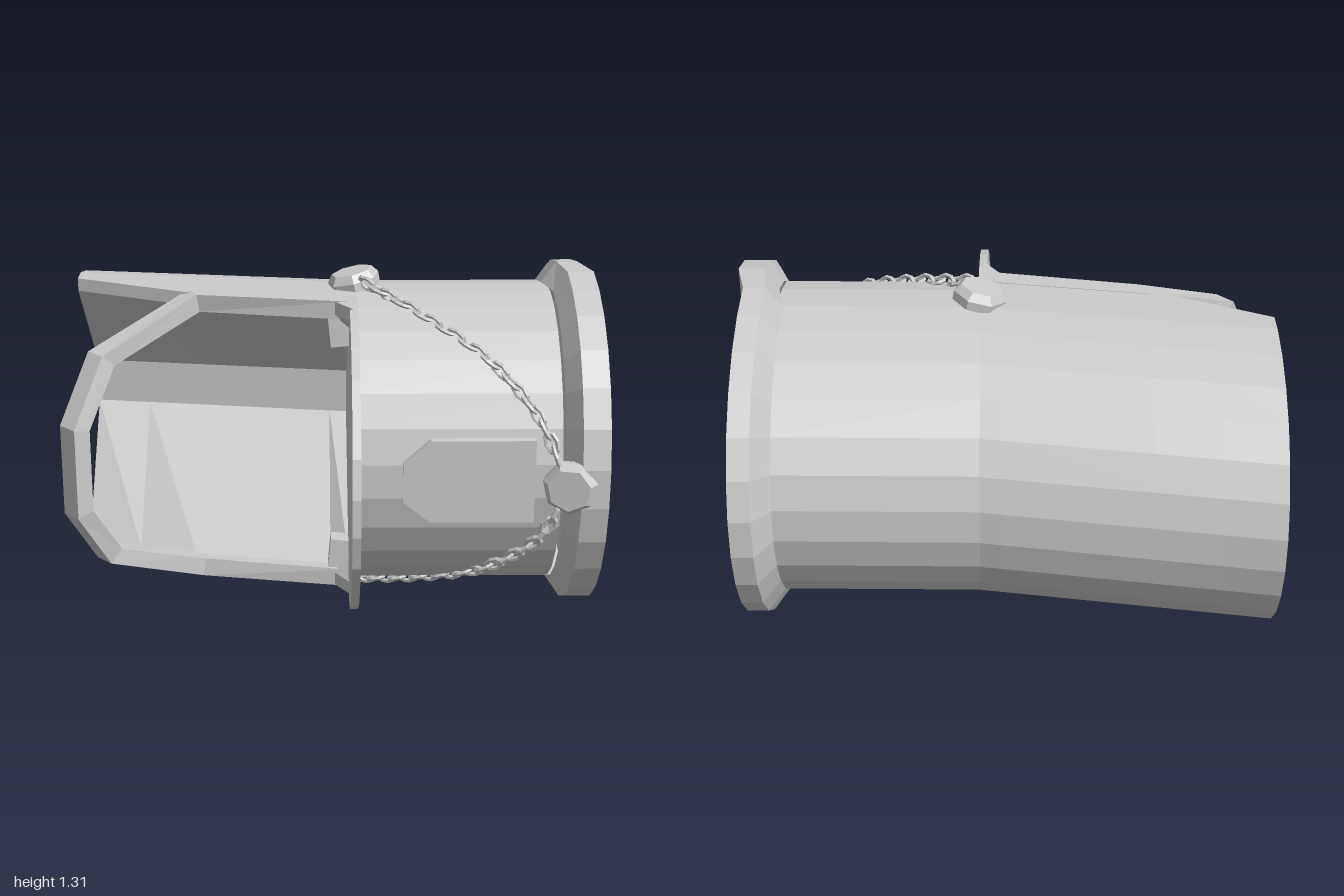
import * as THREE from 'three';

const MID = 0.655; // height of the mirror plane
const mat = new THREE.MeshStandardMaterial({ color: 0xcccccc, flatShading: true, side: THREE.DoubleSide });
const V = (x, y, z) => new THREE.Vector3(x, y, z);
const flip = (p) => V(p.x, 2 * MID - p.y, p.z);

function add(parent, name, geometry) {
  const mesh = new THREE.Mesh(geometry, mat);
  mesh.name = name;
  parent.add(mesh);
  return mesh;
}

// Skin a list of closed cross-sections; caps are flat fills in the z-y plane
function loft(sections, capped = false) {
  const pts = [];
  for (let s = 0; s < sections.length - 1; s++) {
    const a = sections[s], b = sections[s + 1];
    for (let i = 0; i < a.length; i++) {
      const j = (i + 1) % a.length;
      pts.push(a[i], b[i], b[j], a[i], b[j], a[j]);
    }
  }
  if (capped) {
    for (const ring of [sections[0], sections[sections.length - 1]]) {
      const flat = ring.map((p) => new THREE.Vector2(p.z, p.y));
      for (const f of THREE.ShapeUtils.triangulateShape(flat, [])) pts.push(...f.map((k) => ring[k]));
    }
  }
  const g = new THREE.BufferGeometry().setFromPoints(pts);
  g.computeVertexNormals();
  return g;
}

// 28-sided oval across the x axis with its own reach to the front and back;
// the front half is pushed along x by shift
const N = 28, CZ = -0.05;
function oval(x, front, back, ry, shift = 0) {
  return Array.from({ length: N }, (_, i) => {
    const a = ((i + 0.5) / N) * Math.PI * 2, c = Math.cos(a);
    return V(x + (c > 0 ? shift : 0), MID + Math.sin(a) * ry, CZ + c * (c > 0 ? front : back));
  });
}

// Back half of an oval, running from the upper side round to the lower side
function backArc(x, cz, rz, ry) {
  return Array.from({ length: N / 2 }, (_, i) => {
    const a = Math.PI / 2 + ((i + 0.5) / N) * Math.PI * 2;
    return V(x, MID + Math.sin(a) * ry, cz + Math.cos(a) * rz);
  });
}

function createNeckGuard() {
  // x, back z, front edge z
  const rows = [[0.08, -0.74, 0.27], [0, -0.753, 0.14], [-0.53, -0.837, 0.03], [-0.77, -0.875, -0.09], [-0.99, -0.91, -0.2]];
  const sections = rows.map(([x, back, edge]) => [
    V(x, 1.23, edge),
    ...backArc(x, back + 0.69, 0.694, 0.579),
    V(x, 0.08, edge),
    V(x, 0.13, edge),
    V(x, 0.57, back + 0.22),
    V(x, 0.75, back + 0.22),
    V(x, 1.18, edge),
  ]);
  return loft(sections, true);
}

function createVisor() {
  const outline = (x) => {
    const front = Array.from({ length: 14 }, (_, i) => {
      const a = -Math.PI / 2 + (i / 13) * Math.PI;
      return V(x, MID + Math.sin(a) * 0.575, 0.21 + Math.cos(a) * 0.707);
    });
    return [...front, ...backArc(x, CZ, 0.67, 0.57)];
  };
  return loft([outline(0.07), outline(0.1)], true);
}

function createStrap() {
  const d = V(-0.74, 0, 0.67);
  // centre line point and turn of the section from vertical to lengthwise
  const path = [
    [V(0.06, 1.198, 0.13), 0, V(0, 0, 1)],
    [V(-0.52, 1.198, 0.025), 0.2, V(0.4, 0, 0.9)],
    [V(-0.85, 1.045, 0.28), 0.85, V(0.67, 0, 0.74)],
    [V(-0.94, 0.82, 0.42), 1.35, V(0.67, 0, 0.74)],
  ];
  const upper = path.map(([p, turn, side]) => {
    const inward = V(0, -Math.cos(turn), 0).addScaledVector(d, -Math.sin(turn));
    return [[1, 1], [1, -1], [-1, -1], [-1, 1]].map(([u, v]) =>
      p.clone().addScaledVector(inward, u * 0.035).addScaledVector(side, v * 0.045));
  });
  const lower = upper.map((ring) => ring.map(flip)).reverse();
  return loft([...upper, ...lower], false);
}

function createChain(flipped) {
  const group = new THREE.Group();
  group.name = 'chain';
  const pts = [V(0.12, 1.27, 0.01), V(0.35, 1.18, 0.2), V(0.57, 1.07, 0.38), V(0.7, 0.955, 0.49), V(0.77, 0.86, 0.56), V(0.82, 0.74, 0.6)];
  const curve = new THREE.CatmullRomCurve3(flipped ? pts.map(flip) : pts);
  const link = new THREE.TorusGeometry(0.023, 0.0085, 5, 8).scale(1.6, 1, 1);
  const count = 20;
  for (let i = 0; i < count; i++) {
    const t = (i + 0.5) / count;
    const mesh = add(group, 'chainLink', link);
    mesh.position.copy(curve.getPointAt(t));
    mesh.quaternion.setFromUnitVectors(V(1, 0, 0), curve.getTangentAt(t));
    mesh.rotateX((i % 2) * 1.2 + 0.3);
  }
  return group;
}

export function createModel() {
  const model = new THREE.Group();
  model.name = 'hat';

  // Crown tube and the flared top with its creased lid
  add(model, 'crown', loft([oval(0.08, 0.602, 0.692, 0.579), oval(0.84, 0.602, 0.692, 0.579)]));
  const lidEdge = oval(0.96, 0.692, 0.785, 0.659, 0.04);
  add(model, 'topRim', loft([oval(0.82, 0.602, 0.692, 0.579, 0.03), oval(0.88, 0.692, 0.785, 0.659, 0.02), lidEdge]));
  const lidPts = [];
  for (let i = 0; i < N / 2 - 1; i++) {
    const a = lidEdge[i], b = lidEdge[i + 1], c = lidEdge[N - 2 - i], e = lidEdge[N - 1 - i];
    lidPts.push(a, c, b, a, e, c);
  }
  const lid = new THREE.BufferGeometry().setFromPoints(lidPts);
  lid.computeVertexNormals();
  add(model, 'lid', lid);

  add(model, 'neckGuard', createNeckGuard());
  add(model, 'visor', createVisor());
  add(model, 'chinStrap', createStrap());

  // Front plate with clipped lower corners
  const plate = new THREE.Shape([[0.26, 0.58], [0.36, 0.5], [0.74, 0.5], [0.74, 0.815], [0.36, 0.815], [0.26, 0.73]]
    .map(([x, y]) => new THREE.Vector2(x, y)));
  add(model, 'frontPlate', new THREE.ExtrudeGeometry(plate, { depth: 0.08, bevelEnabled: false }).translate(0, 0, 0.48));

  // Bosses holding the chains: a faceted disc with a bevelled face
  const boss = new THREE.LatheGeometry(
    [[0, -0.03], [0.1, -0.03], [0.102, 0.005], [0.08, 0.035], [0, 0.035]].map(([r, y]) => new THREE.Vector2(r, y)), 7);
  const frontBoss = add(model, 'frontBoss', boss);
  frontBoss.position.set(0.86, MID, 0.612);
  frontBoss.rotation.set(Math.PI / 2, 0, 0.25);

  for (const s of [1, -1]) {
    const sideBoss = add(model, 'sideBoss', boss);
    sideBoss.position.set(0.09, MID + s * 0.6, -0.075);
    sideBoss.rotation.z = s > 0 ? 0.24 : Math.PI - 0.24;
    const tab = add(model, 'strapTab', new THREE.BoxGeometry(0.08, 0.12, 0.08));
    tab.position.set(0.035, MID + s * 0.455, 0.11);
    tab.rotation.z = s * 0.1;
    model.add(createChain(s < 0));
  }
  return model;
}
